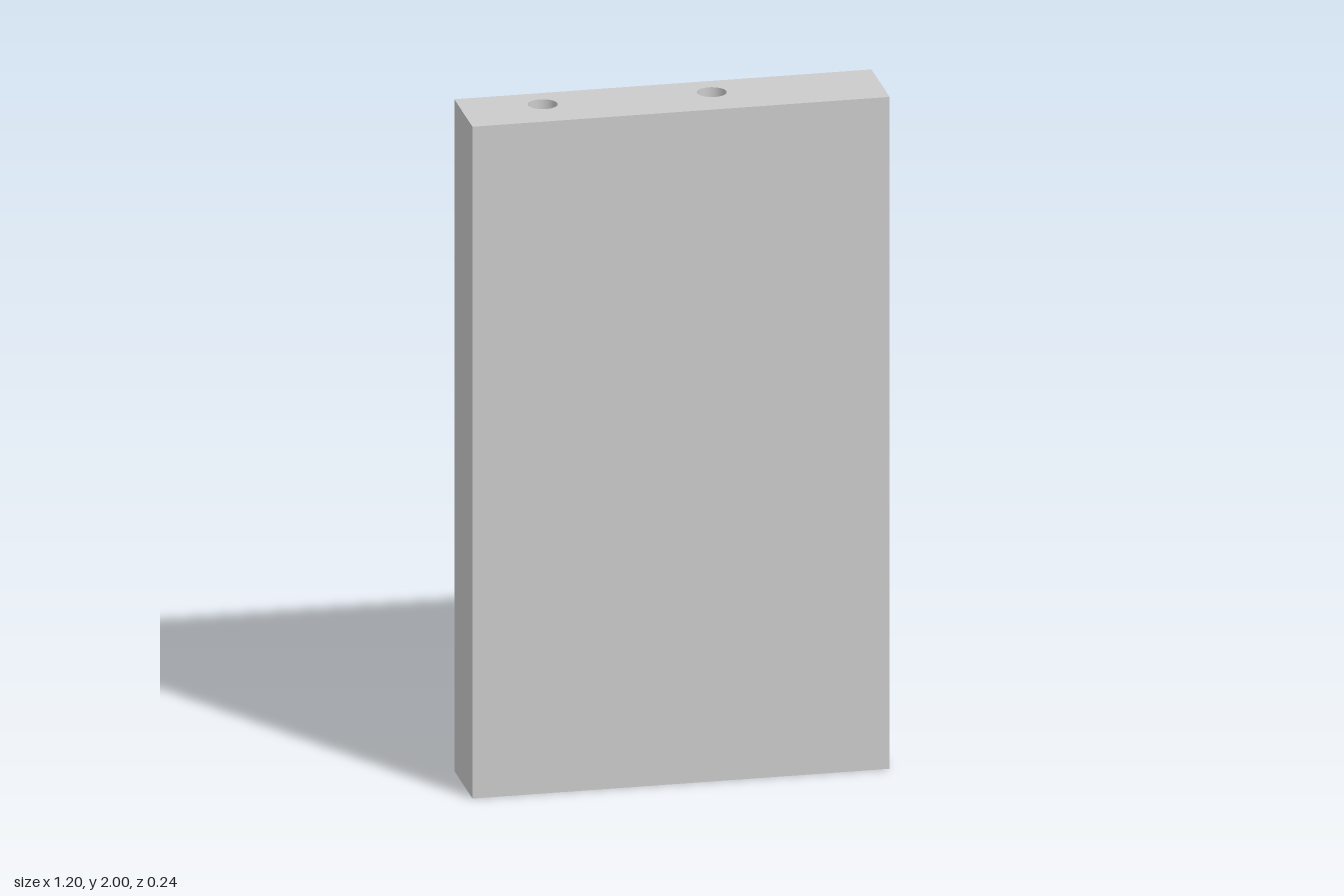
import * as THREE from 'three';

const W = 1.2, H = 2, D = 0.24;   // panel size
const R = 0.042, DEPTH = 0.2;     // dowel hole radius and depth

// Flat rectangular face looking along +z, with blind round holes sunk behind it
function makeFace(name, w, h, holes = []) {
  const material = new THREE.MeshStandardMaterial({ color: 0xcccccc });
  const boreMaterial = new THREE.MeshStandardMaterial({ color: 0xcccccc, side: THREE.DoubleSide });
  const group = new THREE.Group();
  group.name = name;

  const shape = new THREE.Shape([
    new THREE.Vector2(-w / 2, -h / 2), new THREE.Vector2(w / 2, -h / 2),
    new THREE.Vector2(w / 2, h / 2), new THREE.Vector2(-w / 2, h / 2),
  ]);
  for (const [x, y] of holes) {
    shape.holes.push(new THREE.Path().absarc(x, y, R, 0, Math.PI * 2, true));

    // bore wall
    const wall = new THREE.CylinderGeometry(R, R, DEPTH, 48, 1, true);
    wall.rotateX(Math.PI / 2).translate(x, y, -DEPTH / 2);
    const bore = new THREE.Mesh(wall, boreMaterial);
    bore.name = 'dowelHoleWall';

    // bore floor
    const floor = new THREE.Mesh(new THREE.CircleGeometry(R, 48), material);
    floor.position.set(x, y, -DEPTH);
    floor.name = 'dowelHoleFloor';
    group.add(bore, floor);
  }
  const surface = new THREE.Mesh(new THREE.ShapeGeometry(shape, 24), material);
  surface.name = name + 'Surface';
  group.add(surface);
  return group;
}

export function createModel() {
  const panel = new THREE.Group();
  panel.name = 'drilledPanel';

  const place = (face, x, y, z, rx, ry) => {
    face.position.set(x, y, z);
    face.rotation.set(rx, ry, 0);
    panel.add(face);
  };
  const q = Math.PI / 2;

  // broad plain faces and the plain edge
  place(makeFace('frontFace', W, H), 0, H / 2, D / 2, 0, 0);
  place(makeFace('backFace', W, H), 0, H / 2, -D / 2, 0, Math.PI);
  place(makeFace('plainEdge', D, H), -W / 2, H / 2, 0, 0, -q);

  // drilled edges
  place(makeFace('drilledSideEdge', D, H, [[0, -0.51], [0, 0.516]]), W / 2, H / 2, 0, 0, q);
  place(makeFace('topEdge', W, D, [[-0.366, 0.026], [0.12, 0.026]]), 0, H, 0, -q, 0);
  place(makeFace('bottomEdge', W, D, [[-0.368, 0], [0.116, 0]]), 0, 0, 0, q, 0);

  return panel;
}
